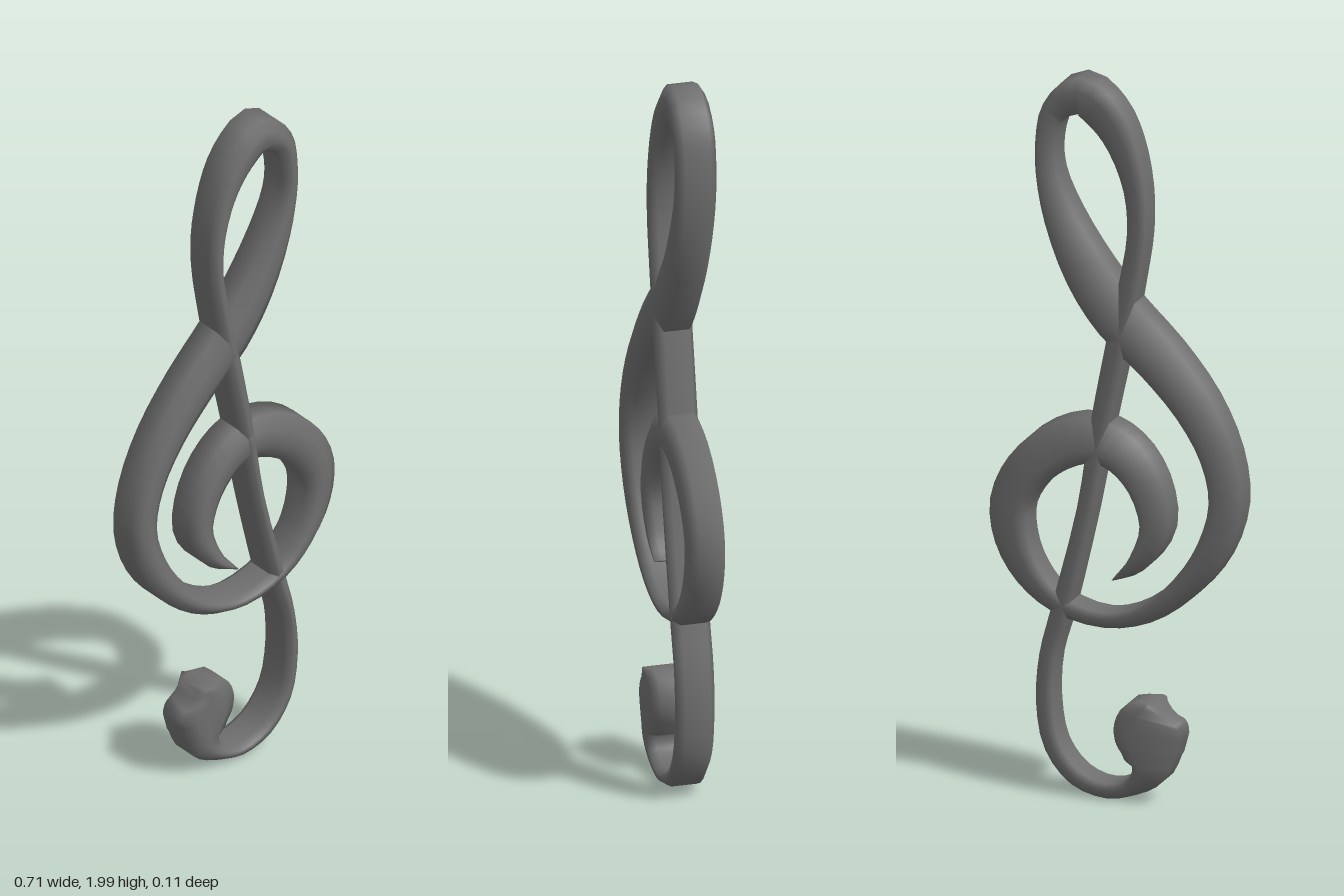
import * as THREE from 'three';

// Centre line of the stroke from the spiral tip to the tail: x, y, half width
const spiral = [
  [0, 0.62, 0.004], [-0.062, 0.67, 0.025], [-0.11, 0.77, 0.04], [-0.085, 0.885, 0.05],
  [-0.02, 0.965, 0.058], [0.06, 0.995, 0.062], [0.16, 0.965, 0.064], [0.25, 0.885, 0.06],
  [0.297, 0.79, 0.054], [0.29, 0.69, 0.048], [0.245, 0.6, 0.038], [0.165, 0.53, 0.026],
  [0.03, 0.5, 0.02],
];
const bowl = [
  [0.03, 0.5, 0.02], [-0.09, 0.535, 0.026], [-0.195, 0.62, 0.035], [-0.272, 0.73, 0.042],
  [-0.31, 0.86, 0.045], [-0.29, 0.99, 0.05], [-0.223, 1.12, 0.058], [-0.12, 1.24, 0.065],
  [-0.005, 1.345, 0.07], [0.08, 1.455, 0.063], [0.155, 1.6, 0.045], [0.192, 1.72, 0.03],
  [0.195, 1.81, 0.028],
];
const topLoop = [
  [0.195, 1.81, 0.028], [0.173, 1.895, 0.034], [0.1, 1.947, 0.052], [0.03, 1.9, 0.05],
  [-0.02, 1.82, 0.04], [-0.055, 1.7, 0.029], [-0.06, 1.58, 0.025], [-0.04, 1.45, 0.026],
  [-0.01, 1.3, 0.028],
];
const stemAndTail = [
  [-0.01, 1.3, 0.028], [0.045, 1.03, 0.025], [0.085, 0.8, 0.021], [0.158, 0.5, 0.024],
  [0.19, 0.38, 0.022], [0.198, 0.25, 0.023], [0.175, 0.13, 0.023], [0.11, 0.052, 0.022],
  [0.02, 0.027, 0.02], [-0.055, 0.052, 0.025], [-0.092, 0.095, 0.05], [-0.094, 0.14, 0.075],
  [-0.09, 0.195, 0.093], [-0.093, 0.245, 0.078], [-0.107, 0.282, 0.014],
];

// Sweep a chamfered bar of changing width along a stroke in the xy plane
function strokeGeometry(points, steps) {
  const curve = new THREE.CatmullRomCurve3(points.map(p => new THREE.Vector3(...p)));
  const pos = [], index = [];
  const D = 0.054, E = 0.035, sides = 8;
  for (let i = 0; i <= steps; i++) {
    const p = curve.getPoint(i / steps);
    const t = curve.getTangent(i / steps).setZ(0).normalize();
    const w = Math.max(p.z, 0.003);
    const f = w - Math.min(0.042, w * 0.6);
    const ring = [[w, -E], [w, E], [f, D], [0, D], [-f, D], [-w, E], [-w, -E], [-f, -D]];
    for (const [u, v] of ring) pos.push(p.x - t.y * u, p.y + t.x * u, v);
  }
  for (let i = 0; i < steps; i++) {
    for (let j = 0; j < sides; j++) {
      const a = i * sides + j, b = i * sides + (j + 1) % sides;
      index.push(a, b, a + sides, b, b + sides, a + sides);
    }
  }
  // End caps
  const last = steps * sides;
  for (let j = 1; j < sides - 1; j++) {
    index.push(0, j + 1, j, last, last + j, last + j + 1);
  }
  const geo = new THREE.BufferGeometry();
  geo.setAttribute('position', new THREE.Float32BufferAttribute(pos, 3));
  geo.setIndex(index);
  geo.computeVertexNormals();
  return geo;
}

export function createModel() {
  const group = new THREE.Group();
  group.name = 'trebleClef';
  const grey = new THREE.MeshStandardMaterial({ color: 0x6e6e6e });
  grey.name = 'grey';

  // One continuous pen stroke, shaded smoothly along its whole length
  const path = [...spiral, ...bowl.slice(1), ...topLoop.slice(1), ...stemAndTail.slice(1)];
  const stroke = new THREE.Mesh(strokeGeometry(path, (path.length - 1) * 3), grey);
  stroke.name = 'clefStroke';
  group.add(stroke);
  return group;
}
